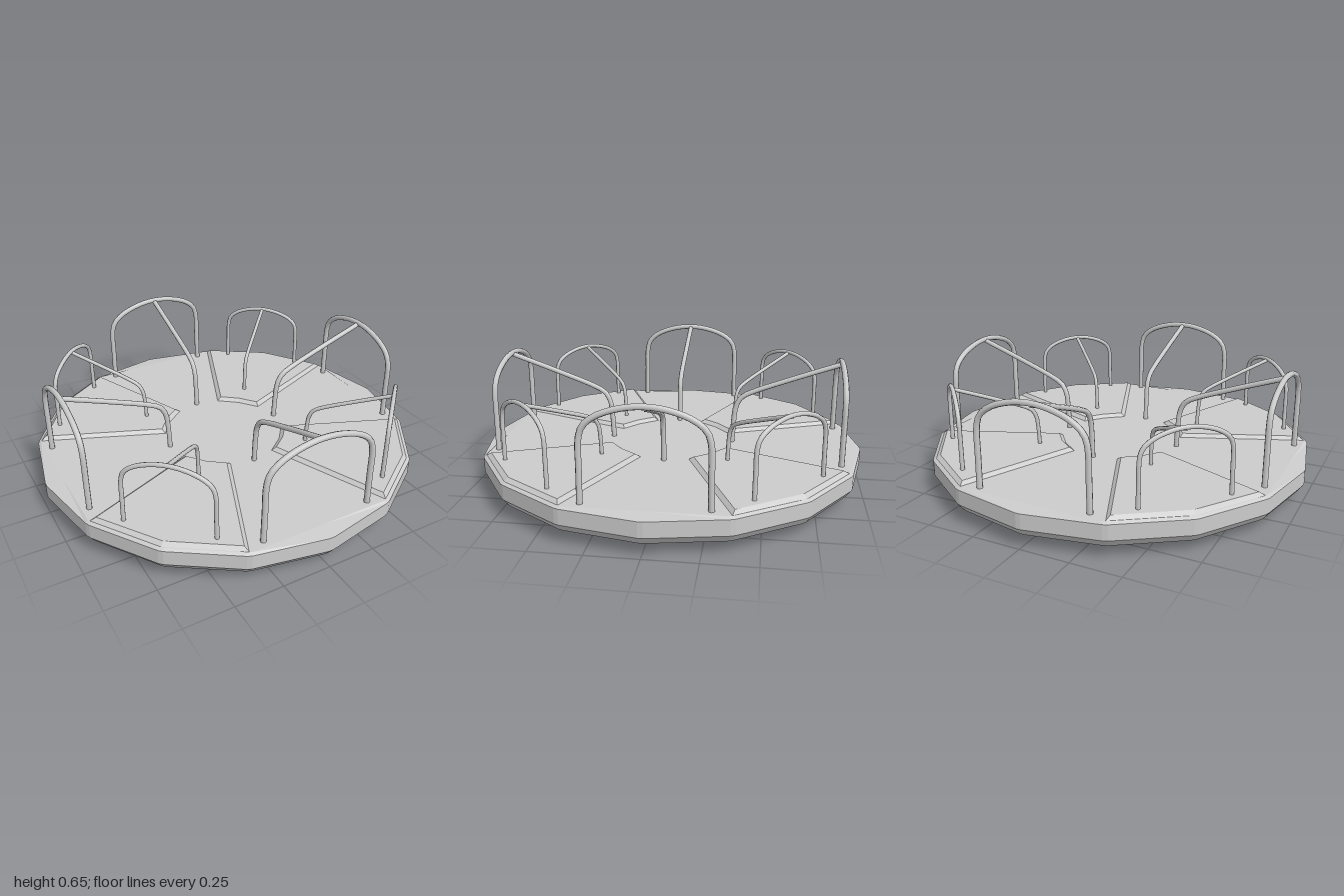
import * as THREE from 'three';

const grey = new THREE.MeshStandardMaterial({ color: 0xcccccc });
const flatGrey = new THREE.MeshStandardMaterial({ color: 0xcccccc, flatShading: true });
const STEP = Math.PI / 8;

function addMesh(parent, name, geometry, material) {
  const mesh = new THREE.Mesh(geometry, material);
  mesh.name = name;
  parent.add(mesh);
  return mesh;
}

// Sixteen-sided deck with chamfered corners, lofted from rings bottom to top
function deckGeometry() {
  const rings = [
    { r: 0, y: 0.06 }, { r: 0.972, y: 0.06 }, { r: 1, y: 0.098 },
    { r: 1, y: 0.174 }, { r: 0.985, y: 0.183, chord: true }, { r: 0, y: 0.183 },
  ];
  const count = 32, chamfer = 0.012, pos = [], index = [];
  for (const { r, y, chord } of rings) {
    for (let i = 0; i < count; i++) {
      const corner = Math.floor(i / 2);
      const a = corner * STEP + (i % 2 ? chamfer : -chamfer);
      // cardinal corners slope off from a straight chord
      const radius = chord && corner % 4 === 0 ? 0.915 : r;
      pos.push(radius * Math.cos(a), y, radius * Math.sin(a));
    }
  }
  for (let k = 0; k < rings.length - 1; k++) {
    for (let i = 0; i < count; i++) {
      const j = (i + 1) % count, lo = k * count, hi = lo + count;
      if (rings[k + 1].r > 0) index.push(lo + i, hi + i, hi + j);
      if (rings[k].r > 0) index.push(lo + i, hi + j, lo + j);
    }
  }
  const g = new THREE.BufferGeometry();
  g.setAttribute('position', new THREE.Float32BufferAttribute(pos, 3));
  g.setIndex(index);
  g.computeVertexNormals();
  return g;
}

// Raised floor panel with bevelled edges, spanning two deck sides
function panelGeometry() {
  const at = (r, k) => new THREE.Vector2(r * Math.cos(k * STEP), r * Math.sin(k * STEP));
  const shape = new THREE.Shape([
    at(0.32, 1), at(0.985, 1), at(0.985, 2), at(0.985, 3), at(0.32, 3), at(0.31, 2),
  ]);
  const g = new THREE.ExtrudeGeometry(shape, {
    depth: 0.002, bevelThickness: 0.018, bevelSize: 0.022, bevelOffset: -0.022, bevelSegments: 1,
  });
  return g.rotateX(-Math.PI / 2).translate(0, 0.18, 0);
}

function tube(points, radius, segments) {
  const curve = new THREE.CatmullRomCurve3(points, false, 'centripetal');
  return new THREE.TubeGeometry(curve, segments, radius, 8);
}

// Handrail: arch across the rim and a brace running in towards the centre (-z)
const side = [[0.288, -0.03], [0.285, 0.15], [0.281, 0.3], [0.262, 0.352], [0.205, 0.398], [0.1, 0.435]];
const archPoints = [
  ...side.map(([x, y]) => new THREE.Vector3(-x, y, 0)),
  new THREE.Vector3(0, 0.446, 0),
  ...side.map(([x, y]) => new THREE.Vector3(x, y, 0)).reverse(),
];
const bracePoints = [
  [0, 0.44], [-0.25, 0.352], [-0.46, 0.272], [-0.51, 0.243], [-0.537, 0.195], [-0.547, 0.12], [-0.555, -0.03],
].map(([z, y]) => new THREE.Vector3(0, y, z));

export function createModel() {
  const model = new THREE.Group();
  model.name = 'merryGoRound';

  const base = addMesh(model, 'base', new THREE.CylinderGeometry(0.61, 0.61, 0.07, 16), grey);
  base.position.y = 0.035;
  addMesh(model, 'deck', deckGeometry(), flatGrey);

  const panel = panelGeometry();
  for (let i = 0; i < 4; i++) {
    addMesh(model, 'floorPanel', panel, flatGrey).rotation.y = i * Math.PI / 2;
  }

  // Large handrails on the axes, smaller ones on the raised panels
  const arch = tube(archPoints, 0.0145, 40);
  const brace = tube(bracePoints, 0.0135, 24);
  for (let i = 0; i < 8; i++) {
    const a = i * Math.PI / 4, small = i % 2 === 1;
    const rail = new THREE.Group();
    rail.name = small ? 'smallHandrail' : 'largeHandrail';
    rail.rotation.y = a;
    rail.position.set(0.878 * Math.sin(a), small ? 0.2 : 0.188, 0.878 * Math.cos(a));
    rail.scale.setScalar(small ? 0.77 : 1);
    addMesh(rail, 'arch', arch, grey);
    addMesh(rail, 'brace', brace, grey);
    model.add(rail);
  }
  return model;
}
